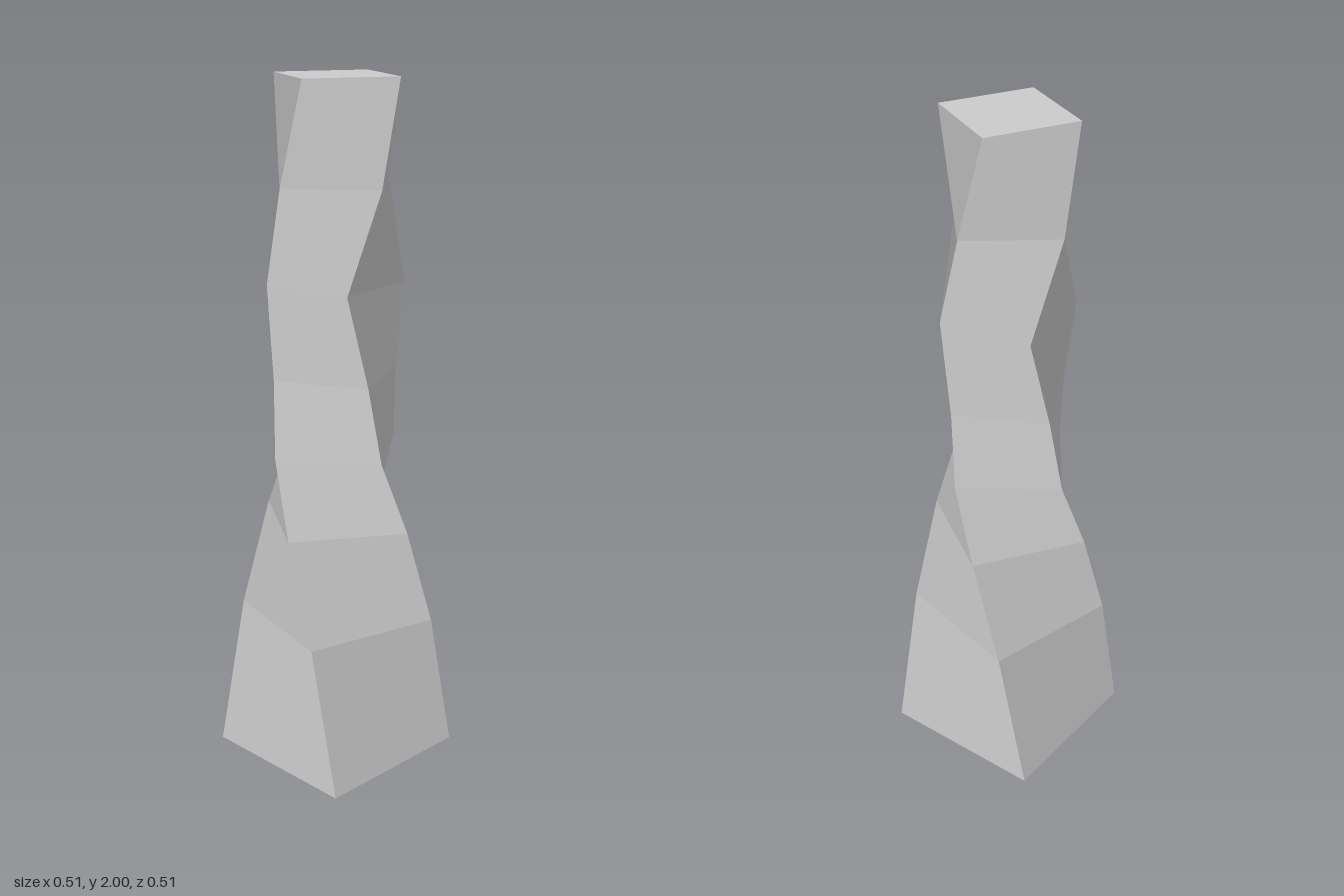
import * as THREE from 'three';

// Square cross-sections up the tower: height, x and z of the front corner
const SECTIONS = [
  [0, 0.24, 0.255],
  [0.43, 0.143, 0.252],
  [0.73, 0.043, 0.24],
  [0.95, -0.037, 0.21],
  [1.17, -0.065, 0.184],
  [1.43, -0.119, 0.154],
  [1.71, -0.025, 0.192],
  [2, 0.053, 0.185],
];

// The four corners of a section, counter-clockwise seen from above
function ring([y, x, z]) {
  return [[x, z], [z, -x], [-x, -z], [-z, x]].map(([px, pz]) => new THREE.Vector3(px, y, pz));
}

// Faces of four corners each, with one flat normal per face
function quadGeometry(quads) {
  const position = [], normal = [], index = [];
  for (const [a, b, c, d] of quads) {
    const start = position.length / 3;
    const n = c.clone().sub(a).cross(d.clone().sub(b)).normalize();
    for (const p of [a, b, c, d]) {
      position.push(p.x, p.y, p.z);
      normal.push(n.x, n.y, n.z);
    }
    index.push(start, start + 1, start + 3, start + 1, start + 2, start + 3);
  }
  const geometry = new THREE.BufferGeometry();
  geometry.setAttribute('position', new THREE.Float32BufferAttribute(position, 3));
  geometry.setAttribute('normal', new THREE.Float32BufferAttribute(normal, 3));
  geometry.setIndex(index);
  return geometry;
}

export function createModel() {
  const group = new THREE.Group();
  group.name = 'twistedTower';
  const material = new THREE.MeshStandardMaterial({ color: 0xcccccc });
  const rings = SECTIONS.map(ring);

  const add = (name, quads) => {
    const mesh = new THREE.Mesh(quadGeometry(quads), material);
    mesh.name = name;
    group.add(mesh);
  };

  // Twisting walls between neighbouring sections
  const walls = [];
  for (let s = 0; s < rings.length - 1; s++) {
    const low = rings[s], high = rings[s + 1];
    for (let i = 0; i < 4; i++) {
      const j = (i + 1) % 4;
      walls.push([low[i], low[j], high[j], high[i]]);
    }
  }
  add('walls', walls);

  // Flat roof and underside
  add('roof', [rings[rings.length - 1]]);
  add('base', [[...rings[0]].reverse()]);

  return group;
}
